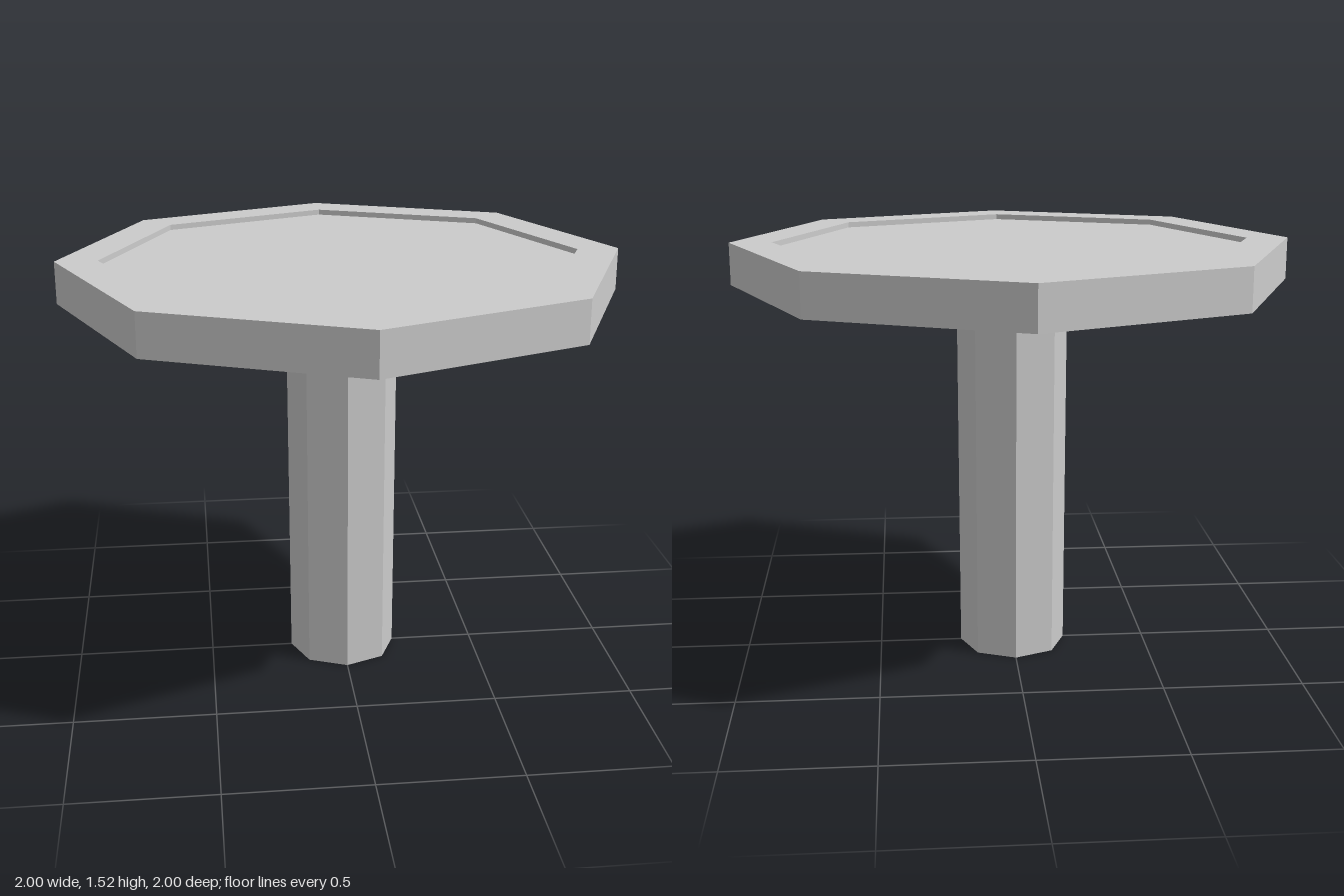
import * as THREE from 'three';

const SIDES = 8;

export function createModel() {
  const group = new THREE.Group();
  const material = new THREE.MeshStandardMaterial({ color: 0xcccccc, flatShading: true });

  const add = (name, geometry, y = 0) => {
    const mesh = new THREE.Mesh(geometry, material);
    mesh.name = name;
    mesh.position.y = y;
    group.add(mesh);
    return mesh;
  };

  // Octagonal prism standing between two heights
  const prism = (name, topRadius, bottomRadius, y0, y1) =>
    add(name, new THREE.CylinderGeometry(topRadius, bottomRadius, y1 - y0, SIDES), (y0 + y1) / 2);

  // Raised frame around the table top, a closed rectangular section
  const section = [[0.85, 1.375], [1, 1.375], [1, 1.525], [0.85, 1.525], [0.85, 1.375]];
  add('tableRim', new THREE.LatheGeometry(section.map(([r, y]) => new THREE.Vector2(r, y)), SIDES));

  // Panel set slightly inside the rim on both faces
  prism('tablePanel', 0.852, 0.852, 1.395, 1.505);

  // Central column, very slightly narrower at the foot
  prism('columnLeg', 0.2, 0.196, 0, 1.4);

  return group;
}
